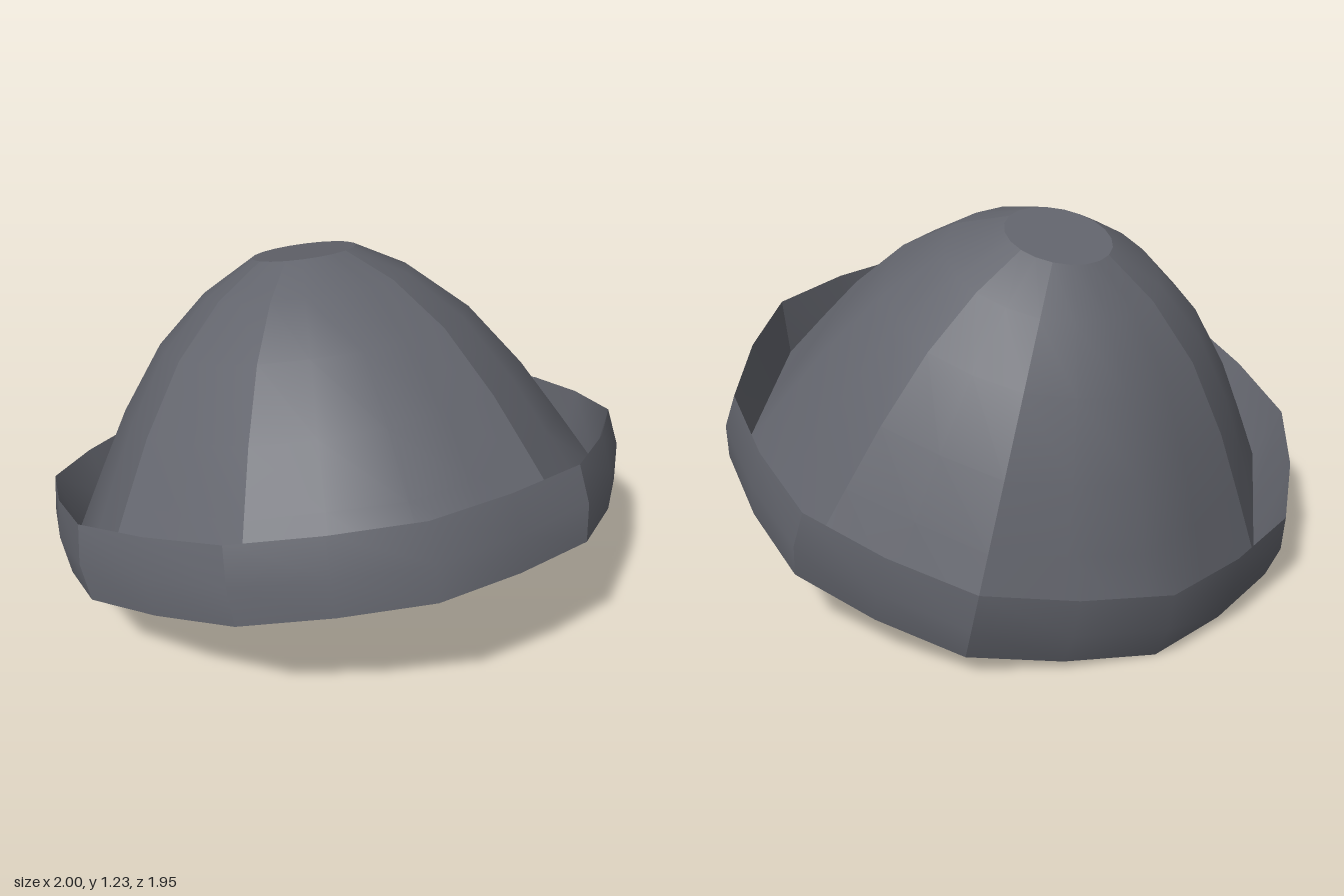
import * as THREE from 'three';

const wool = new THREE.MeshStandardMaterial({ color: 0x63656d, side: THREE.DoubleSide });
wool.name = 'charcoal wool';

// Smooth panels around the hat, as ranges of 18 degree steps; creases fall between them
const PANELS = [[0, 2], [2, 6], [6, 10], [10, 12], [12, 16], [16, 20]];
const START = 45, STEP = 18;

// Sweeps a profile of [radius, height, mid] round the axis. Even steps are corners
// of a decagon; odd steps have their radius scaled by mid.
function sweep(name, profile) {
  const positions = [], indices = [];
  const n = profile.length;
  for (const [from, to] of PANELS) {
    const base = positions.length / 3;
    for (let s = from; s <= to; s++) {
      const a = THREE.MathUtils.degToRad(START + s * STEP);
      for (const [radius, height, mid] of profile) {
        const r = s % 2 ? radius * mid : radius;
        positions.push(r * Math.sin(a), height, -r * Math.cos(a));
      }
    }
    for (let s = 0; s < to - from; s++) {
      for (let p = 0; p < n - 1; p++) {
        const A = base + s * n + p, B = A + n;
        indices.push(A, A + 1, B + 1, A, B + 1, B);
      }
    }
  }
  const geometry = new THREE.BufferGeometry();
  geometry.setAttribute('position', new THREE.Float32BufferAttribute(positions, 3));
  geometry.setIndex(indices);
  geometry.computeVertexNormals();
  const mesh = new THREE.Mesh(geometry, wool);
  mesh.name = name;
  return mesh;
}

export function createModel() {
  const hat = new THREE.Group();
  hat.name = 'knitHat';

  // Crown, rising from inside the cuff to a small flat top
  hat.add(sweep('crown', [
    [0.932, 0.06, 0.951], [0.815, 0.27, 0.96], [0.70, 0.47, 0.97],
    [0.54, 0.69, 0.985], [0.36, 0.85, 0.995], [0.18, 0.95, 1],
  ]));
  const top = new THREE.Mesh(new THREE.CircleGeometry(0.18, 20, Math.PI / 20), wool);
  top.name = 'crownTop';
  top.rotation.x = -Math.PI / 2;
  top.position.y = 0.95;
  hat.add(top);

  // Folded cuff: bulging outside, wall facing the crown, underside and inner lip
  hat.add(sweep('cuffOuter', [[0.99, 0, 0.975], [1.01, 0.13, 0.975], [0.99, 0.26, 0.975]]));
  hat.add(sweep('cuffInner', [[0.99, 0.26, 0.975], [0.932, 0.06, 0.951]]));
  hat.add(sweep('cuffUnderside', [[0.915, 0, 0.965], [0.99, 0, 0.975]]));
  hat.add(sweep('cuffLip', [[0.932, 0.06, 0.951], [0.915, 0, 0.965]]));

  // Worn tipped towards the back
  hat.rotation.x = THREE.MathUtils.degToRad(-16.1);
  hat.position.set(0, 0.275, 0.037);

  const model = new THREE.Group();
  model.add(hat);
  return model;
}
